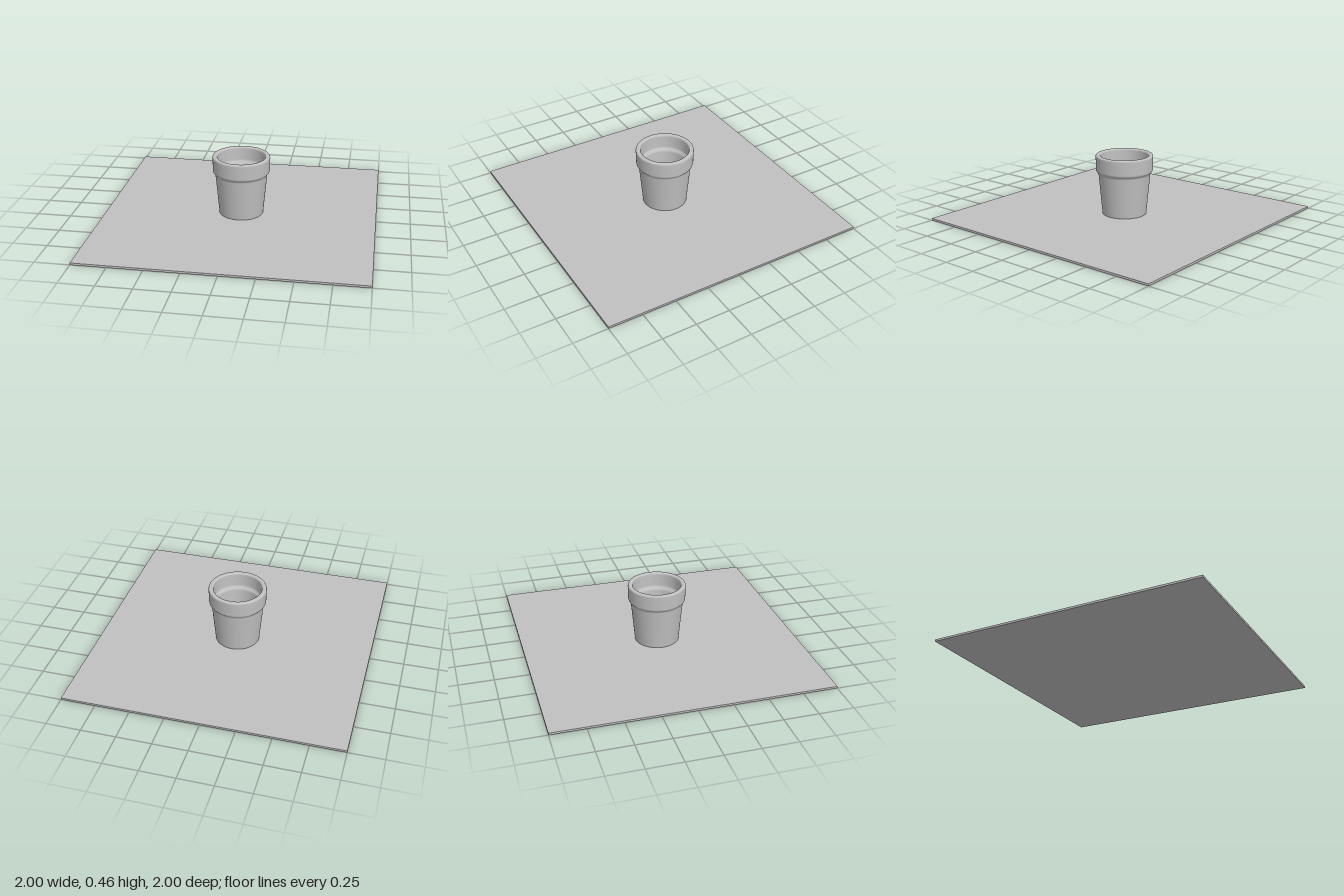
import * as THREE from 'three';

// Profile with each corner rounded by a small quadratic bend
function roundedProfile(corners) {
  const path = new THREE.Path();
  path.moveTo(corners[0][0], corners[0][1]);
  for (let i = 1; i < corners.length - 1; i++) {
    const [a, b, c] = [corners[i - 1], corners[i], corners[i + 1]].map(p => new THREE.Vector2(p[0], p[1]));
    const r = corners[i][2];
    const start = b.clone().add(a.sub(b).setLength(r));
    const end = b.clone().add(c.sub(b).setLength(r));
    path.lineTo(start.x, start.y);
    path.quadraticCurveTo(b.x, b.y, end.x, end.y);
  }
  const last = corners[corners.length - 1];
  path.lineTo(last[0], last[1]);
  return path.getPoints(5);
}

export function createModel() {
  const grey = new THREE.MeshStandardMaterial({ color: 0xc0c0c0 });
  grey.name = 'plain grey';
  const model = new THREE.Group();
  model.name = 'pottedGround';

  // Thin square ground slab
  const slabHeight = 0.015;
  const ground = new THREE.Mesh(new THREE.BoxGeometry(2, slabHeight, 2), grey);
  ground.name = 'ground';
  ground.position.y = slabHeight / 2;
  model.add(ground);

  // Hollow pot: underside, tapered wall, collar, stepped inside, floor [radius, height, bend]
  const profile = roundedProfile([
    [0, 0.012],
    [0.163, 0.012, 0.008],
    [0.192, 0.325, 0.01],
    [0.209, 0.342, 0.01],
    [0.212, 0.462, 0.014],
    [0.177, 0.462, 0.014],
    [0.174, 0.355, 0.01],
    [0.157, 0.335, 0.01],
    [0.136, 0.05, 0.022],
    [0, 0.05],
  ]);
  const pot = new THREE.Mesh(new THREE.LatheGeometry(profile, 64), grey);
  pot.name = 'flowerPot';
  pot.position.set(-0.001, 0, -0.004);
  model.add(pot);

  return model;
}
